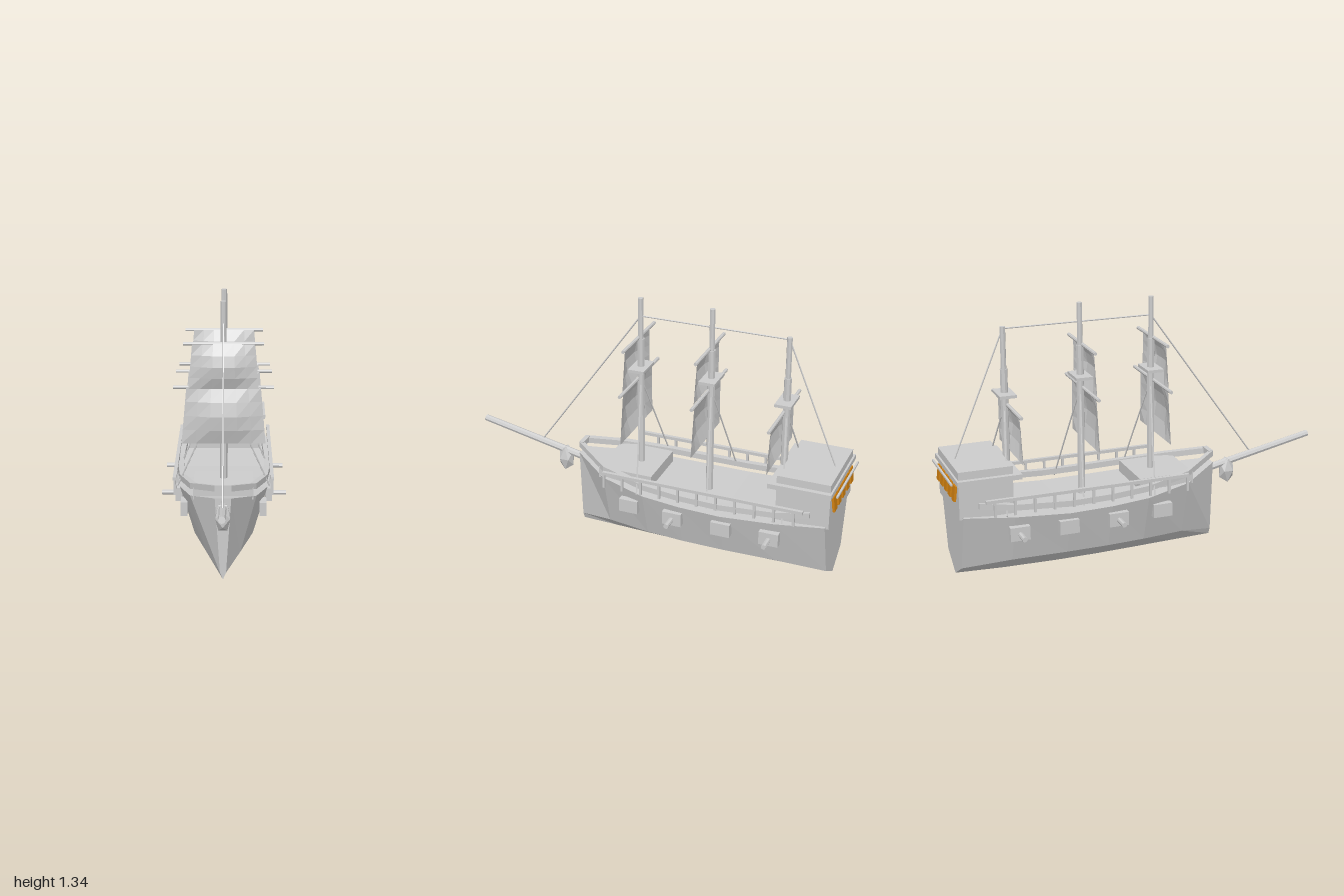
import * as THREE from 'three';

const grey = new THREE.MeshStandardMaterial({ color: 0xcccccc, flatShading: true, side: THREE.DoubleSide });
const amber = new THREE.MeshStandardMaterial({ color: 0xd08010 });

// Hull stations: z, deck half width, deck y, chine half width, chine y, keel y
const stations = [
  [0.43, 0.04, 0.44, 0.015, 0.06, 0.025],
  [0.24, 0.165, 0.395, 0.085, 0.1, 0.02],
  [0, 0.225, 0.368, 0.15, 0.118, 0.013],
  [-0.2, 0.24, 0.358, 0.172, 0.122, 0.008],
  [-0.42, 0.245, 0.355, 0.175, 0.122, 0.006],
  [-0.7, 0.235, 0.37, 0.165, 0.12, 0.01],
  [-0.95, 0.215, 0.392, 0.135, 0.1, 0.02],
];

export function createModel() {
  const ship = new THREE.Group();
  ship.name = 'sailingShip';

  const add = (name, geometry, x = 0, y = 0, z = 0, parent = ship, material = grey) => {
    const mesh = new THREE.Mesh(geometry, material);
    mesh.name = name;
    mesh.position.set(x, y, z);
    parent.add(mesh);
    return mesh;
  };
  const box = (name, w, h, d, x, y, z, parent, material) =>
    add(name, new THREE.BoxGeometry(w, h, d), x, y, z, parent, material);

  // Round bar between two points
  const bar = (name, a, b, r, parent = ship, sides = 8, rEnd = r) => {
    const p = new THREE.Vector3(...a), q = new THREE.Vector3(...b);
    const mesh = add(name, new THREE.CylinderGeometry(rEnd, r, p.distanceTo(q), sides), 0, 0, 0, parent);
    mesh.position.copy(p).add(q).multiplyScalar(0.5);
    mesh.quaternion.setFromUnitVectors(new THREE.Vector3(0, 1, 0), q.sub(p).normalize());
    return mesh;
  };

  // Skin a row of closed cross-sections that runs from front to back
  const loft = (rings) => {
    const n = rings[0].length, last = (rings.length - 1) * n, index = [];
    for (let i = 0; i < rings.length - 1; i++)
      for (let j = 0; j < n; j++) {
        const a = i * n + j, b = i * n + (j + 1) % n;
        index.push(a, b, b + n, a, b + n, a + n);
      }
    for (let j = 1; j < n - 1; j++)
      index.push(0, j + 1, j, last, last + j, last + j + 1);
    const g = new THREE.BufferGeometry();
    g.setAttribute('position', new THREE.Float32BufferAttribute(rings.flat(2), 3));
    g.setIndex(index);
    g.computeVertexNormals();
    return g;
  };

  // Hull with a closed deck
  add('hull', loft(stations.map(([z, w, y, cw, cy, k]) =>
    [[w, y, z], [cw, cy, z], [0, k, z], [-cw, cy, z], [-w, y, z]])));

  // Foredeck
  box('foredeck', 0.3, 0.06, 0.29, 0, 0.415, 0.125);

  for (const s of [1, -1]) {
    // Gunwale band following the sheer of the deck
    add('gunwale', loft(stations.map(([z, w, y], i) => {
      const c = s * (w - 0.015), t = 0.015, zz = i === 6 ? -0.87 : z;
      return [[c + t, y + 0.065, zz], [c + t, y + 0.035, zz], [c - t, y + 0.035, zz], [c - t, y + 0.065, zz]];
    })));

    // Railing
    const railing = new THREE.Group();
    railing.name = 'railing';
    ship.add(railing);
    box('handrail', 0.018, 0.016, 1.05, s * 0.243, 0.47, -0.32, railing);
    for (let i = 0; i < 11; i++)
      box('railPost', 0.012, 0.085, 0.012, s * 0.243, 0.43, 0.2 - i * 0.1, railing);

    // Gun ports, every second one with a cannon
    [0.08, -0.17, -0.43, -0.68].forEach((z, i) => {
      const x = [0.195, 0.23, 0.235, 0.23][i];
      box('gunPort', 0.035, 0.07, 0.1, s * (x + 0.005), 0.287, z);
      if (i % 2) bar('cannon', [s * 0.2, 0.285, z], [s * 0.325, 0.285, z], 0.013);
    });
  }
  box('bowCap', 0.08, 0.03, 0.025, 0, 0.49, 0.418);

  // Stern cabin
  const cabin = new THREE.Group();
  cabin.name = 'sternCabin';
  ship.add(cabin);
  box('cabinWalls', 0.4, 0.19, 0.27, 0, 0.475, -0.83, cabin);
  box('cabinCornice', 0.45, 0.025, 0.32, 0, 0.57, -0.815, cabin);
  box('cabinRoof', 0.4, 0.04, 0.27, 0, 0.602, -0.83, cabin);
  for (let i = -2; i <= 2; i++)
    box('sternWindow', 0.046, 0.078, 0.012, i * 0.075, 0.505, -0.974, cabin, amber).rotation.x = 0.12;
  box('sternTrim', 0.38, 0.01, 0.01, 0, 0.56, -0.995, cabin);

  // Sail: flat-sided sheet bellied forward, with top and bottom half widths
  const sail = (top, bottom, wTop, wBottom, z, parent) => {
    const g = new THREE.PlaneGeometry(2, 1, 6, 4), p = g.attributes.position;
    for (let i = 0; i < p.count; i++) {
      const u = p.getX(i), v = 0.5 - p.getY(i);
      const belly = Math.min(1, 1.45 * (1 - Math.abs(u))) * Math.sin(Math.PI * v);
      p.setXYZ(i, u * (wTop + (wBottom - wTop) * v), top + (bottom - top) * v, 0.018 + 0.008 * v + 0.038 * belly);
    }
    g.computeVertexNormals();
    add('sail', g, 0, 0, z, parent);
  };

  // Masts: z, top, top of the thick part, platform y, yards and sails [y, yard half, sail bottom, widths]
  const lower = [0.915, 0.25, 0.63, 0.185, 0.21], upper = [1.135, 0.2, 0.91, 0.155, 0.175];
  const masts = [
    ['foreMast', 0.095, 1.345, 1.13, 0.975, [lower, upper]],
    ['mainMast', -0.28, 1.345, 1.13, 0.975, [lower, upper]],
    ['mizzenMast', -0.67, 1.26, 1.05, 0.925, [[0.87, 0.25, 0.62, 0.185, 0.21]]],
  ];
  for (const [name, z, top, step, platformY, sails] of masts) {
    const mast = new THREE.Group();
    mast.name = name;
    ship.add(mast);
    bar('lowerMast', [0, 0.34, z], [0, step, z], 0.019, mast);
    bar('topMast', [0, step, z], [0, top, z], 0.014, mast);
    box('platform', 0.14, 0.015, 0.085, 0, platformY, z, mast);
    for (const [y, half, bottom, w1, w2] of sails) {
      bar('yard', [-half, y, z + 0.01], [half, y, z + 0.01], 0.009, mast);
      sail(y, bottom, w1, w2, z, mast);
    }
    for (const s of [1, -1])
      bar('shroud', [0, sails[0][0], z], [s * 0.235, 0.38, z - 0.07], 0.004, mast, 5);
  }

  // Stays
  bar('foreStay', [0, 1.25, 0.095], [0, 0.46, 0.66], 0.004, ship, 5);
  bar('topStay', [0, 1.25, 0.095], [0, 1.25, -0.67], 0.004, ship, 5);
  bar('backStay', [0, 1.25, -0.67], [0, 0.62, -0.93], 0.004, ship, 5);

  // Bowsprit and figurehead
  bar('bowsprit', [0, 0.385, 0.36], [0, 0.52, 0.997], 0.02, ship, 8, 0.017);
  add('figurehead', new THREE.IcosahedronGeometry(1, 0).scale(0.042, 0.075, 0.045), 0, 0.375, 0.525);

  return ship;
}
